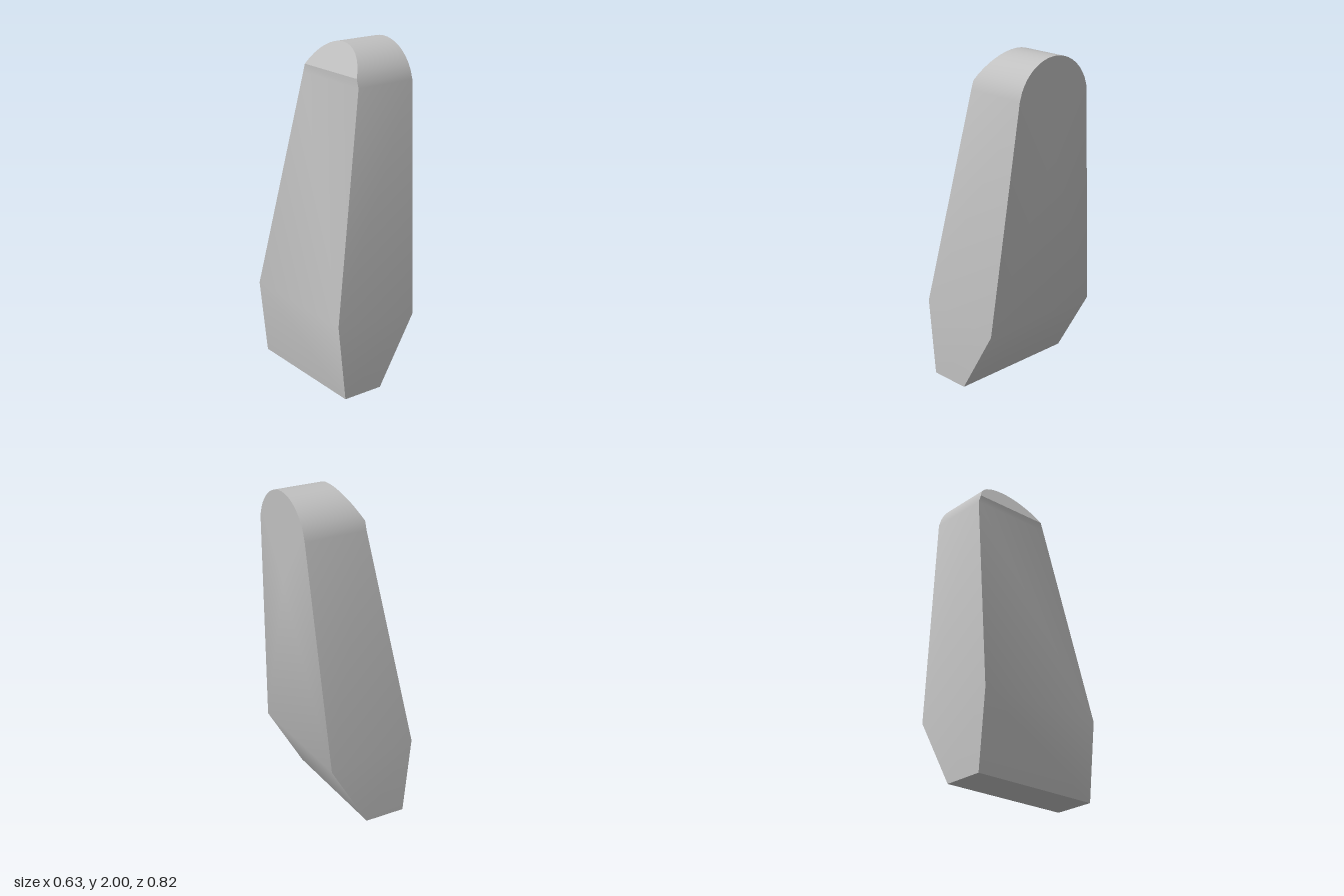
import * as THREE from 'three';
import { toCreasedNormals } from 'three/addons/utils/BufferGeometryUtils.js';

const V = (x, y, z) => new THREE.Vector3(x, y, z);

// Tapered block with a rounded top, lofted between a left rim and a right rim.
function createBlockGeometry() {
  const radius = 0.272, centreY = 1.728;
  const left = [V(-0.265, 0, 0.41), V(-0.315, 0.47, 0.41)];
  const right = [V(-0.01, 0, 0.41), V(0.23, 0.41, 0.41)];

  // Half of the rounded top, from the shoulder to the crown
  const angles = [13];
  for (let k = 0; k <= 8; k++) angles.push(24.3 + (65.7 * k) / 8);
  for (const degrees of angles) {
    const a = THREE.MathUtils.degToRad(degrees);
    const y = centreY + radius * Math.sin(a);
    const z = degrees === 90 ? 0 : radius * Math.cos(a);
    left.push(V(-0.07 + 0.09 * Math.max(0, (y - 1.84) / 0.16), y, z));
    right.push(V(0.315, y, z));
  }

  // Mirror to the back half, sharing the crown point
  for (const rim of [left, right]) {
    rim.push(...rim.slice(0, -1).reverse().map((p) => V(p.x, p.y, -p.z)));
  }

  const points = [];
  const tri = (...corners) => points.push(...corners);
  const quad = (a, b, c, d) => { tri(a, b, c); tri(a, c, d); };
  const n = left.length;

  // Sides, rounded top and base
  for (let i = 0; i < n; i++) {
    const j = (i + 1) % n;
    quad(left[i], right[i], right[j], left[j]);
  }

  // Left face in horizontal strips
  for (let i = 0, j = n - 1; i < j; i++, j--) {
    if (j - i > 2) quad(left[i], left[i + 1], left[j - 1], left[j]);
    else tri(left[i], left[i + 1], left[j]);
  }

  // Right face: sloping foot, then a slightly raised panel
  quad(right[0], right[n - 1], right[n - 2], right[1]);
  const peak = V(0.315, 1.45, 0);
  for (let i = 1; i <= n - 2; i++) {
    tri(peak, right[i === n - 2 ? 1 : i + 1], right[i]);
  }

  return toCreasedNormals(new THREE.BufferGeometry().setFromPoints(points), 0.5);
}

export function createModel() {
  const grey = new THREE.MeshStandardMaterial({ color: 0xc0c0c0 });
  grey.name = 'light grey';
  const block = new THREE.Mesh(createBlockGeometry(), grey);
  block.name = 'taperedBlock';
  const model = new THREE.Group();
  model.name = 'roundedTaperedBlock';
  model.add(block);
  return model;
}
